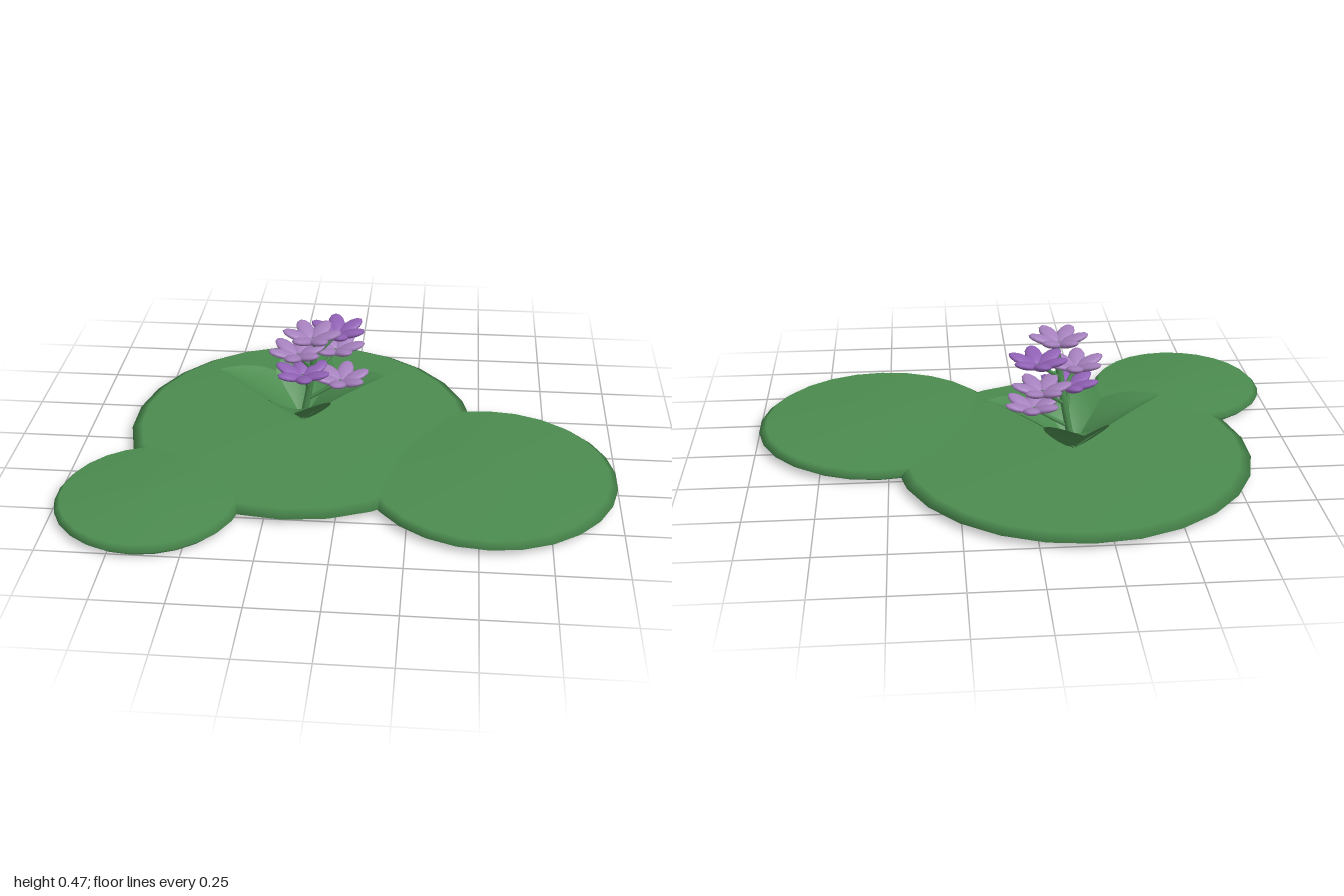
import * as THREE from 'three';

const material = (name, color, extra = {}) => {
  const m = new THREE.MeshStandardMaterial({ color, ...extra });
  m.name = name;
  return m;
};

// Pointed leaf: cupped cross-sections swept along an outward arching curve
function leafGeometry() {
  const rows = 14, cols = 6;
  const rib = new THREE.QuadraticBezierCurve(
    new THREE.Vector2(0, 0.045), new THREE.Vector2(0.1, 0.18), new THREE.Vector2(0.315, 0.25));
  const positions = [], index = [];
  for (let i = 0; i <= rows; i++) {
    const t = i / rows;
    const p = rib.getPoint(t), d = rib.getTangent(t);
    const s = Math.sin(Math.PI * Math.pow(t, 0.9));
    const half = 0.112 * Math.pow(Math.max(s, 0), 0.85) + 0.012 * (1 - t);
    for (let j = 0; j <= cols; j++) {
      const u = (j / cols) * 2 - 1;
      const lift = 0.25 * half * u * u;
      positions.push(u * half, p.y + d.x * lift, p.x - d.y * lift);
      if (i < rows && j < cols) {
        const a = i * (cols + 1) + j, b = a + cols + 1;
        index.push(a, b, a + 1, a + 1, b, b + 1);
      }
    }
  }
  const g = new THREE.BufferGeometry();
  g.setAttribute('position', new THREE.Float32BufferAttribute(positions, 3));
  g.setIndex(index);
  g.computeVertexNormals();
  return g;
}

export function createModel() {
  const model = new THREE.Group();
  const green = material('leaf green', 0x4b8b4f, { side: THREE.DoubleSide });
  const purple = material('petal purple', 0x9161b5);
  const lilac = material('petal lilac', 0xa580bd);

  const add = (parent, name, geometry, mat) => {
    const mesh = new THREE.Mesh(geometry, mat);
    mesh.name = name;
    parent.add(mesh);
    return mesh;
  };

  // Floating pads: thin bevelled discs, slightly domed
  const pads = [
    ['largePad', -0.18, -0.12, 0.657],
    ['mediumPad', 0.535, 0.195, 0.465],
    ['smallPad', -0.665, 0.44, 0.335],
  ];
  for (const [name, x, z, r] of pads) {
    const profile = [[0, 0], [0.93, 0.003], [1, 0.025], [0.94, 0.045], [0, 0.056]]
      .map(([k, y]) => new THREE.Vector2(k * r, y));
    add(model, name, new THREE.LatheGeometry(profile, 26), green).position.set(x, 0, z);
  }

  // Four leaves around the base of the stem
  const leaves = new THREE.Group();
  leaves.name = 'leaves';
  leaves.position.set(-0.18, 0, -0.12);
  model.add(leaves);
  const leaf = leafGeometry();
  for (let i = 0; i < 4; i++) add(leaves, 'leaf', leaf, green).rotation.y = i * Math.PI / 2;

  // Main stem
  const stem = new THREE.CatmullRomCurve3([
    new THREE.Vector3(-0.18, 0.04, -0.12),
    new THREE.Vector3(-0.15, 0.2, -0.12),
    new THREE.Vector3(-0.12, 0.41, -0.1),
  ]);
  add(model, 'stem', new THREE.TubeGeometry(stem, 10, 0.013, 8), green);

  // Flowers spiralling up the stem, each with six upturned petals and a stalk
  const petal = new THREE.SphereGeometry(1, 12, 8);
  petal.scale(0.056, 0.014, 0.032);
  const flowers = [
    [-0.13, 0.432, -0.04, lilac],
    [-0.045, 0.398, -0.16, purple],
    [-0.19, 0.347, -0.07, lilac],
    [-0.055, 0.31, -0.2, lilac],
    [-0.17, 0.265, -0.06, purple],
    [-0.03, 0.213, -0.13, lilac],
  ];
  flowers.forEach(([x, y, z, mat], n) => {
    const flower = new THREE.Group();
    flower.name = 'flower';
    flower.position.set(x, y, z);
    model.add(flower);
    for (let i = 0; i < 6; i++) {
      const arm = new THREE.Group();
      arm.name = 'petalArm';
      arm.rotation.y = i * Math.PI / 3 + n * 0.7;
      flower.add(arm);
      const p = add(arm, 'petal', petal, mat);
      p.position.set(0.056, 0.016, 0);
      p.rotation.z = 0.33;
    }
    const root = stem.getPoint(Math.max(0, (y - 0.1) / 0.37));
    const stalk = new THREE.LineCurve3(root, new THREE.Vector3(x, y + 0.005, z));
    add(model, 'stalk', new THREE.TubeGeometry(stalk, 1, 0.007, 6), green);
  });

  return model;
}
